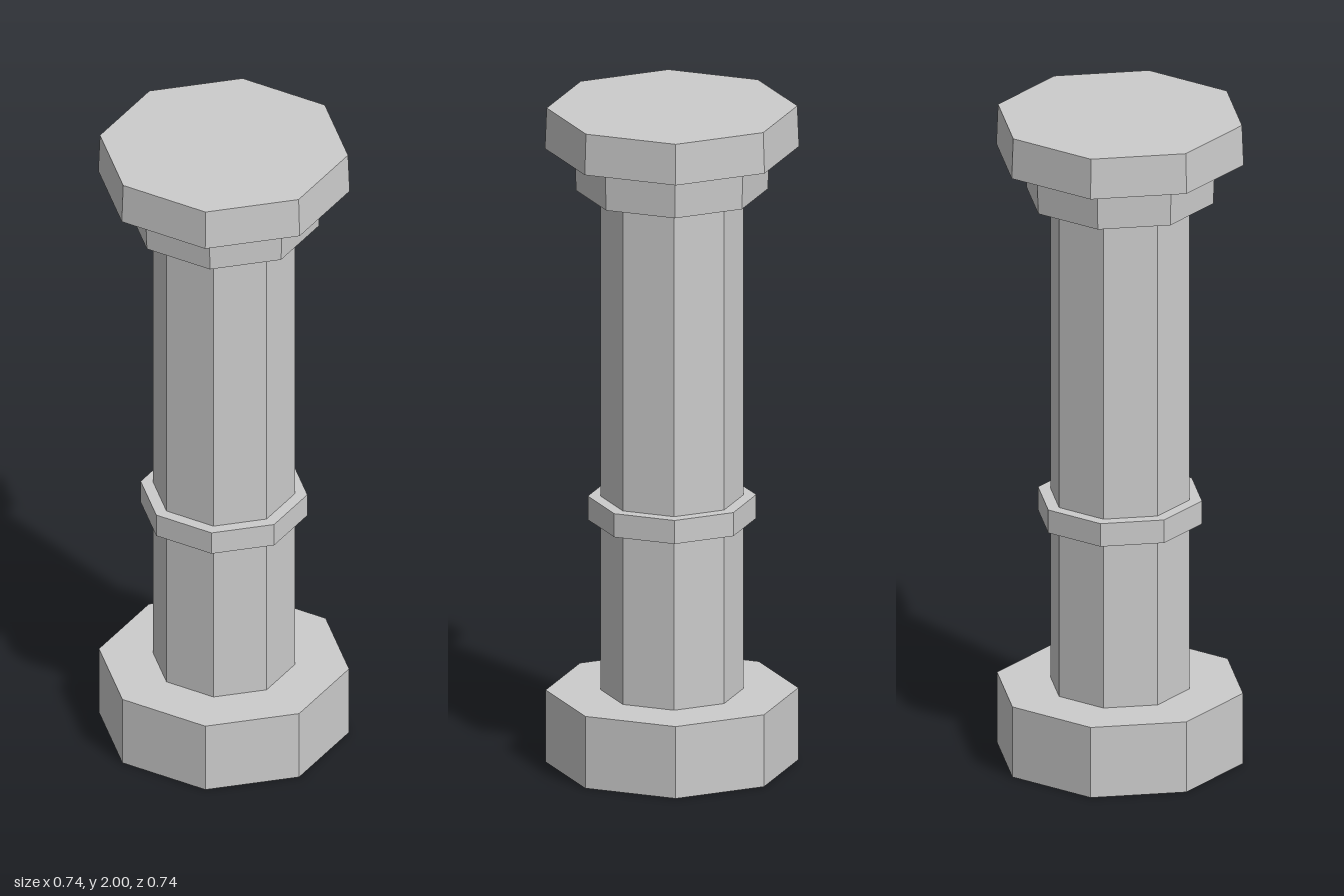
import * as THREE from 'three';

const material = new THREE.MeshStandardMaterial({ color: 0xcccccc, flatShading: true });

// One octagonal drum with corners on the x and z axes
function drum(name, bottomY, topY, bottomRadius, topRadius = bottomRadius) {
  const geometry = new THREE.CylinderGeometry(topRadius, bottomRadius, topY - bottomY, 8);
  const mesh = new THREE.Mesh(geometry, material);
  mesh.name = name;
  mesh.position.y = (bottomY + topY) / 2;
  return mesh;
}

export function createModel() {
  const column = new THREE.Group();
  column.name = 'column';
  column.add(
    drum('base', 0, 0.22, 0.369),
    drum('shaft', 0.22, 1.75, 0.209),
    drum('band', 0.74, 0.812, 0.246),
    // Capital: a neck flaring slightly upward under a wide top slab
    drum('capitalNeck', 1.747, 1.876, 0.28, 0.285),
    drum('capitalSlab', 1.876, 2, 0.371, 0.366),
  );
  return column;
}
